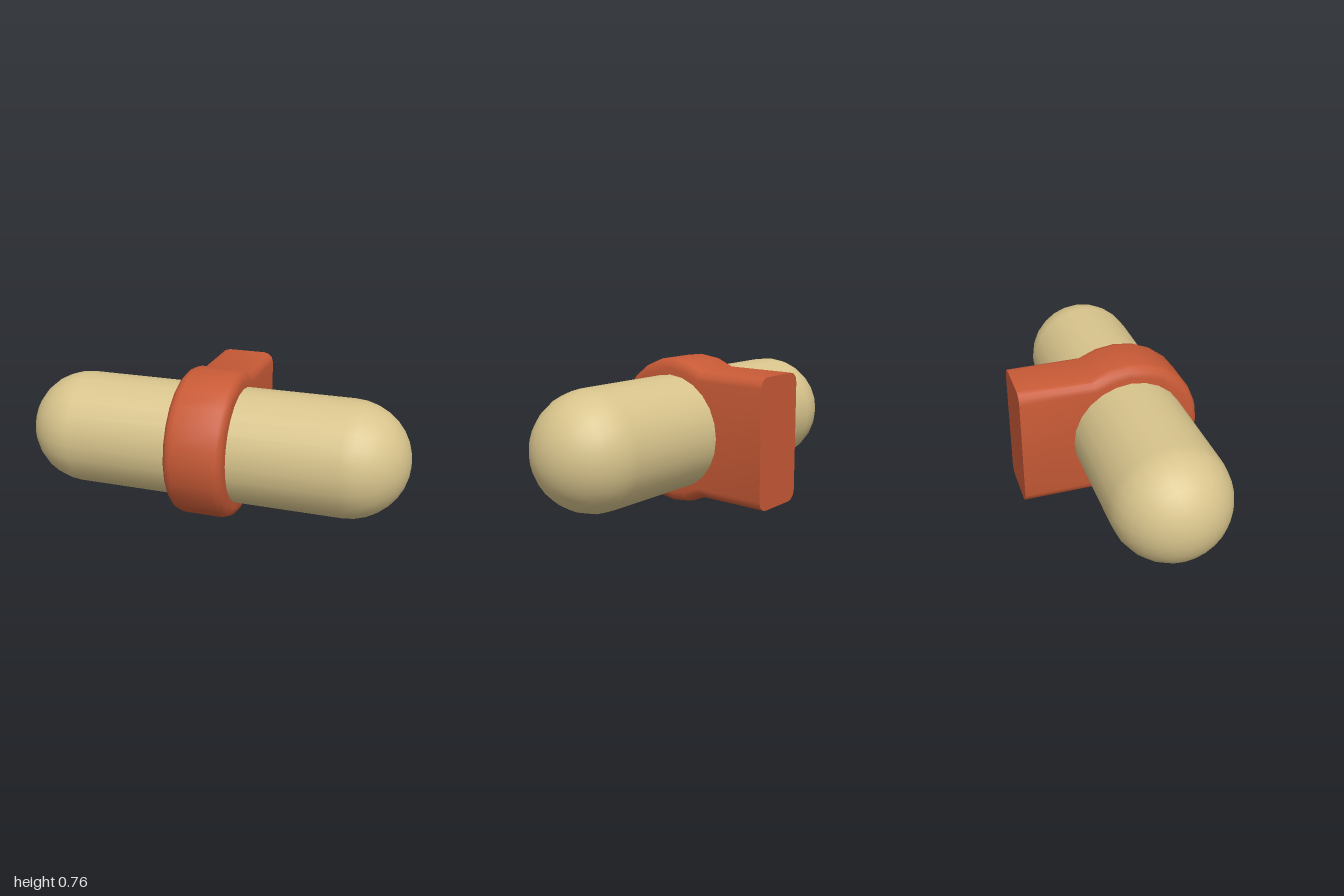
import * as THREE from 'three';
import { mergeGeometries, toCreasedNormals } from 'three/addons/utils/BufferGeometryUtils.js';

const CY = 0.382, CZ = 0.093;          // axis of the rod
const ROD_R = 0.297, BAND_R = 0.381;
const HALF_W = 0.152, ROUND = 0.052;   // band half width and edge rounding
const BACK = -0.473, BLOCK_H = BAND_R * Math.cos(Math.PI / 6);

// Side outline of the clamp as (z, y): block top, round the band, block bottom
function outline(inset) {
  const r = BAND_R - inset, h = BLOCK_H - inset;
  const joinZ = CZ - Math.sqrt(r * r - h * h);
  const pts = [[BACK, CY + h], [joinZ, CY + h]];
  for (let i = -1; i <= 13; i++) {
    const a = i * Math.PI / 12;
    pts.push([CZ + r * Math.sin(a), CY + r * Math.cos(a)]);
  }
  pts.push([joinZ, CY - h], [BACK, CY - h]);
  return pts;
}

function clampGeometry() {
  // Rounded cross-section: x position and inset of each row
  const rows = [];
  for (const side of [-1, 1]) {
    for (let k = 0; k <= 3; k++) {
      const a = (side < 0 ? k : 3 - k) * Math.PI / 6;
      rows.push({
        x: side * (HALF_W - ROUND + ROUND * Math.cos(a)),
        pts: outline(ROUND * (1 - Math.sin(a))),
      });
    }
  }

  // Outer skin between neighbouring rows
  const pos = [];
  const put = (j, i) => pos.push(rows[j].x, rows[j].pts[i][1], rows[j].pts[i][0]);
  const n = rows[0].pts.length;
  for (let j = 0; j < rows.length - 1; j++) {
    for (let i = 0; i < n - 1; i++) {
      put(j, i); put(j, i + 1); put(j + 1, i);
      put(j + 1, i); put(j, i + 1); put(j + 1, i + 1);
    }
  }
  const skin = new THREE.BufferGeometry();
  skin.setAttribute('position', new THREE.Float32BufferAttribute(pos, 3));

  // Flat faces closing the two sides and the back
  const face = (pts, turn, x, z) => {
    const shape = new THREE.Shape(pts.map(p => new THREE.Vector2(p[0], p[1])));
    const g = new THREE.ShapeGeometry(shape).toNonIndexed();
    g.deleteAttribute('uv');
    g.deleteAttribute('normal');
    return g.rotateY(turn).translate(x, 0, z);
  };
  const edge = rows[0].pts;
  const backPts = [
    ...rows.map(r => [r.x, r.pts[0][1]]),
    ...rows.slice().reverse().map(r => [r.x, r.pts[n - 1][1]]),
  ];
  return toCreasedNormals(mergeGeometries([
    skin,
    face(edge.map(([z, y]) => [-z, y]), Math.PI / 2, HALF_W, 0),
    face(edge, -Math.PI / 2, -HALF_W, 0),
    face(backPts, Math.PI, 0, BACK),
  ]), 0.6);
}

export function createModel() {
  const tan = new THREE.MeshStandardMaterial({ color: 0xd8c48c });
  tan.name = 'tan';
  const rust = new THREE.MeshStandardMaterial({ color: 0xc85a36 });
  rust.name = 'rust';

  const model = new THREE.Group();
  model.name = 'clampedRod';

  // Round-ended rod lying along x
  const rod = new THREE.Mesh(new THREE.CapsuleGeometry(ROD_R, 2 - 2 * ROD_R, 8, 24), tan);
  rod.name = 'rod';
  rod.rotation.z = Math.PI / 2;
  rod.position.set(0, CY, CZ);

  // Band around the rod with a mounting block behind
  const clamp = new THREE.Mesh(clampGeometry(), rust);
  clamp.name = 'clamp';

  model.add(rod, clamp);
  return model;
}
